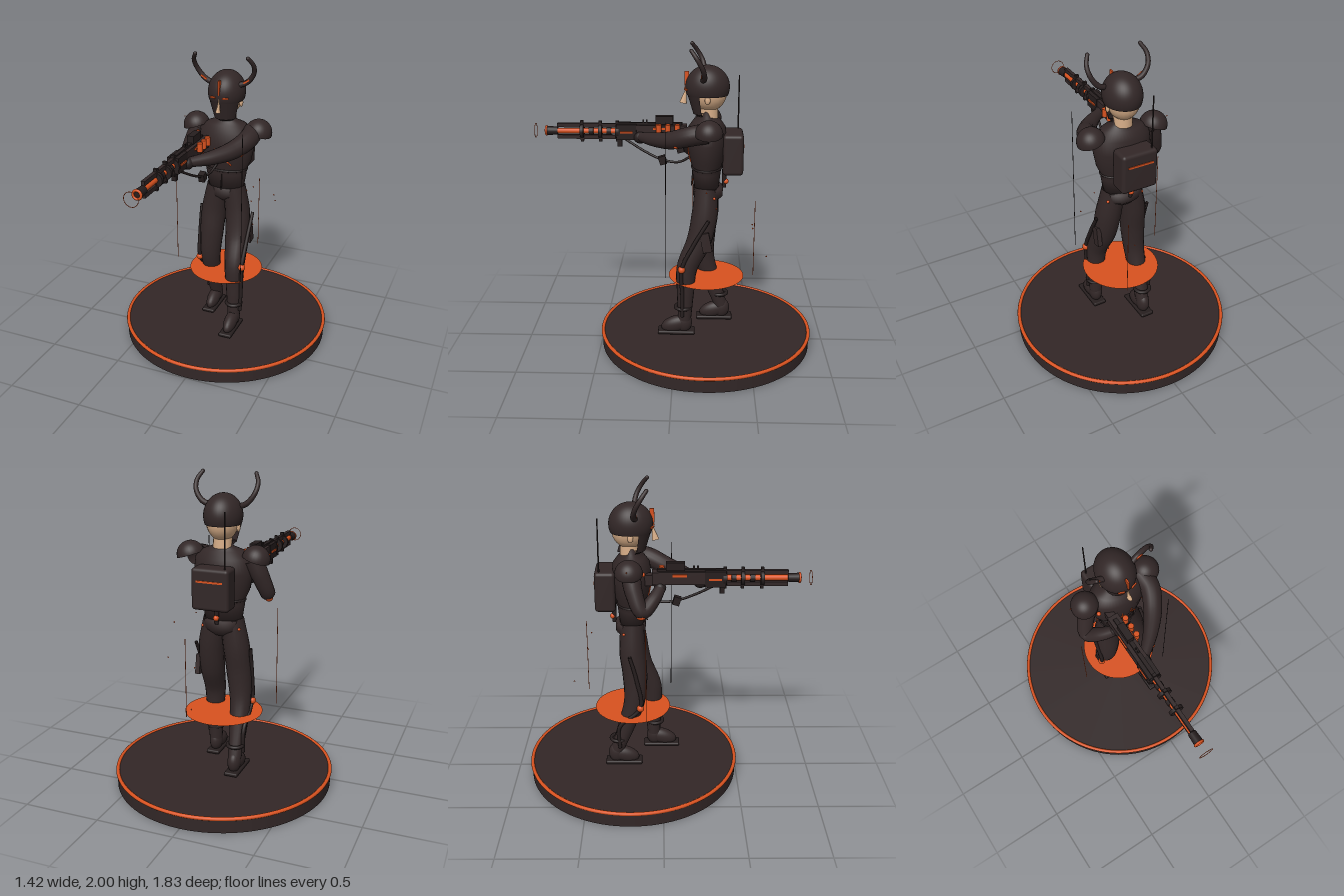
import * as THREE from 'three';
import { RoundedBoxGeometry } from 'three/addons/geometries/RoundedBoxGeometry.js';

const mat = (name, color) => {
  const m = new THREE.MeshStandardMaterial({ color, side: THREE.DoubleSide });
  m.name = name;
  return m;
};
const V = (a) => new THREE.Vector3(...a);

export function createModel() {
  const dark = mat('charcoal armour', 0x322727);
  const black = mat('black fittings', 0x261e1e);
  const orange = mat('orange trim', 0xd9521f);
  const skin = mat('skin', 0xd8ae88);
  const root = new THREE.Group();

  const add = (name, geo, m, pos = [0, 0, 0], rot = [0, 0, 0], scale = [1, 1, 1], parent = root) => {
    const mesh = new THREE.Mesh(geo, m);
    mesh.name = name;
    mesh.position.set(...pos);
    mesh.rotation.set(...rot);
    mesh.scale.set(...scale);
    parent.add(mesh);
    return mesh;
  };
  const box = (x, y, z) => new THREE.BoxGeometry(x, y, z);
  const ball = (r) => new THREE.SphereGeometry(r, 24, 16);
  const cyl = (a, b, h, n = 20) => new THREE.CylinderGeometry(a, b, h, n);
  const lathe = (pts) => new THREE.LatheGeometry(pts.map((p) => new THREE.Vector2(...p)), 48);

  // Round limb that follows a curve, with the radius changing along it
  const limb = (name, pts, radii, m, seg = 28) => {
    const curve = new THREE.CatmullRomCurve3(pts.map(V));
    const sides = 16;
    const geo = new THREE.TubeGeometry(curve, seg, 1, sides, false);
    const p = geo.attributes.position;
    const v = new THREE.Vector3();
    for (let i = 0; i <= seg; i++) {
      const c = curve.getPointAt(i / seg);
      const t = (i / seg) * (radii.length - 1);
      const k = Math.min(Math.floor(t), radii.length - 2);
      const r = THREE.MathUtils.lerp(radii[k], radii[k + 1], t - k);
      for (let j = 0; j <= sides; j++) {
        const n = i * (sides + 1) + j;
        v.fromBufferAttribute(p, n).sub(c).multiplyScalar(r).add(c);
        p.setXYZ(n, v.x, v.y, v.z);
      }
    }
    return add(name, geo, m);
  };

  // Round stand with a glowing rim, and the floating disc
  add('base', new THREE.CylinderGeometry(0.7, 0.7, 0.095, 96), dark, [0, 0.0475, -0.205]);
  add('baseRim', new THREE.TorusGeometry(0.697, 0.012, 10, 96), orange, [0, 0.092, -0.205], [Math.PI / 2, 0, 0]);
  add('floatingDisc', new THREE.CircleGeometry(0.25, 64), orange, [0, 0.475, -0.205], [-Math.PI / 2, 0, 0]);

  // Legs, boots and outer leg struts
  const legs = [
    { s: 1, z: [-0.2, -0.19, -0.155, -0.08, -0.07, -0.065], knee: [0.58, -0.045], foot: -0.01, low: -0.05 },
    { s: -1, z: [-0.2, -0.2, -0.185, -0.19, -0.24, -0.31], knee: [0.545, -0.15], foot: -0.265, low: -0.29 },
  ];
  for (const { s, z, knee, foot, low } of legs) {
    const xs = [0.055, 0.085, 0.098, 0.11, 0.115, 0.115];
    const ys = [1.1, 0.92, 0.75, 0.57, 0.4, 0.2];
    limb('leg', xs.map((x, i) => [s * x, ys[i], z[i]]), [0.075, 0.085, 0.08, 0.068, 0.056, 0.043], dark);
    add('ankleCuff', new THREE.TorusGeometry(0.05, 0.012, 10, 28), black, [s * 0.117, 0.29, z[5] + 0.01], [Math.PI / 2, 0, 0]);
    add('boot', ball(1), dark, [s * 0.115, 0.165, foot], [0.3, 0, 0], [0.044, 0.055, 0.105]);
    add('bootHeel', ball(1), dark, [s * 0.115, 0.175, foot - 0.05], [0, 0, 0], [0.043, 0.07, 0.055]);
    add('sole', new RoundedBoxGeometry(0.09, 0.025, 0.245, 3, 0.01), black, [s * 0.115, 0.113, foot]);
    const k = [s * 0.175, knee[0], knee[1]];
    limb('legStrut', [[s * 0.185, 0.92, -0.215], [s * 0.18, 0.75, (knee[1] - 0.215) / 2 + 0.01], k, [s * 0.17, 0.4, low], [s * 0.165, 0.24, low]], [0.011, 0.013, 0.013, 0.013, 0.012], black);
    add('kneeJoint', ball(0.024), orange, k);
    add('hipLight', ball(0.01), orange, [s * 0.12, 1.05, -0.25]);
  }
  add('thighPouch', box(0.03, 0.13, 0.06), dark, [0.17, 0.77, -0.2], [0.2, 0, 0]);

  // Torso
  add('pelvis', lathe([[0, 1.0], [0.07, 1.0], [0.12, 1.04], [0.122, 1.1], [0, 1.11]]), dark, [0, 0, -0.21], [0, 0, 0], [1, 1, 0.8]);
  add('chest', lathe([[0, 1.09], [0.12, 1.09], [0.138, 1.2], [0.142, 1.235], [0.168, 1.29], [0.19, 1.4], [0.178, 1.49], [0.13, 1.535], [0.065, 1.56], [0.055, 1.6], [0, 1.6]]), dark, [0, 0, -0.2], [0, 0, 0], [1, 1, 0.66]);
  add('waistBelt', new THREE.TorusGeometry(0.14, 0.008, 8, 48), black, [0, 1.23, -0.2], [Math.PI / 2, 0, 0], [1, 0.68, 1]);
  add('frontSeam', box(0.006, 0.13, 0.008), black, [0, 1.165, -0.109], [-0.08, 0, 0]);
  for (const s of [-1, 1]) {
    add('chestLine', new THREE.TubeGeometry(new THREE.CatmullRomCurve3([[0.035 * s, 1.39, -0.08], [0.03 * s, 1.33, -0.085], [0.07 * s, 1.28, -0.1]].map(V)), 10, 0.005, 6), orange);
    // Shoulder domes with a lit underside
    const g = new THREE.Group();
    g.name = 'shoulderPlate';
    g.position.set(0.215 * s, 1.49, -0.21);
    g.rotation.z = -0.3 * s;
    root.add(g);
    add('shoulderDome', new THREE.SphereGeometry(0.087, 28, 12, 0, Math.PI * 2, 0, Math.PI / 2), dark, [0, 0, 0], [0, 0, 0], [1, 1, 1], g);
    add('shoulderLining', new THREE.CircleGeometry(0.07, 28), orange, [0, 0.004, 0], [Math.PI / 2, 0, 0], [1, 1, 1], g);
    add('shoulderLight', ball(0.014), orange, [0.17 * s, 1.47, -0.125]);
  }

  // Arms and hands
  limb('leftArm', [[0.18, 1.49, -0.2], [0.18, 1.47, -0.1], [0.12, 1.43, 0.02], [0.03, 1.41, 0.13], [-0.07, 1.4, 0.22]], [0.065, 0.062, 0.056, 0.045, 0.032], dark);
  add('leftHand', ball(0.04), black, [-0.085, 1.395, 0.23], [0, 0, 0], [1, 1, 1.1]);
  limb('rightArm', [[-0.19, 1.49, -0.2], [-0.235, 1.38, -0.18], [-0.265, 1.265, -0.13], [-0.2, 1.32, -0.06], [-0.13, 1.365, -0.02]], [0.062, 0.055, 0.048, 0.045, 0.034], dark);
  add('rightHand', ball(0.038), black, [-0.125, 1.37, -0.02]);
  add('rightElbowPad', ball(0.03), orange, [-0.275, 1.237, -0.135], [0, 0, 0], [0.8, 0.7, 1]);
  add('leftElbowPad', ball(0.018), orange, [0.17, 1.405, -0.01]);

  // Head, helmet and face guard
  add('neck', cyl(0.055, 0.06, 0.12), skin, [0, 1.61, -0.21]);
  add('head', ball(1), skin, [0, 1.71, -0.21], [0, 0, 0], [0.098, 0.12, 0.112]);
  add('helmetDome', new THREE.SphereGeometry(1, 40, 24, 0, Math.PI * 2, 0, 1.95), dark, [0, 1.743, -0.2], [0, 0, 0], [0.118, 0.136, 0.138]);
  add('faceGuard', new THREE.CylinderGeometry(0.113, 0.078, 0.13, 32, 1, true, -1.15, 2.3), dark, [0, 1.64, -0.2], [0, 0, 0], [1, 1, 1.13]);
  add('chinPlate', new THREE.CylinderGeometry(0.078, 0.06, 0.02, 32, 1, false, -1.15, 2.3), black, [0, 1.573, -0.2], [0, 0, 0], [1, 1, 1.13]);
  add('nose', new THREE.ConeGeometry(0.018, 0.1, 12), skin, [0, 1.69, -0.058], [-0.2, 0, 0], [0.8, 1, 1.3]);
  add('browCrest', box(0.01, 0.09, 0.03), orange, [0, 1.795, -0.07]);
  for (const s of [-1, 1]) {
    add('eyeSlit', box(0.04, 0.01, 0.009), orange, [s * 0.042, 1.732, -0.066], [0, s * 0.35, 0]);
    add('ear', ball(0.022), skin, [s * 0.098, 1.675, -0.2], [0, 0, 0], [0.5, 1.2, 0.8]);
    limb('horn', [[s * 0.09, 1.795, -0.17], [s * 0.145, 1.82, -0.18], [s * 0.19, 1.88, -0.168], [s * 0.198, 1.94, -0.135], [s * 0.174, 1.988, -0.1]], [0.018, 0.017, 0.015, 0.014, 0.012], dark);
    add('hornTip', ball(0.0122), dark, [s * 0.174, 1.988, -0.1]);
    add('hornGlow', box(0.045, 0.01, 0.008), orange, [s * 0.143, 1.826, -0.163], [0, 0, s * 0.55]);
  }

  // Backpack, antenna and lower nozzle
  add('backpack', new RoundedBoxGeometry(0.24, 0.26, 0.13, 4, 0.022), dark, [0, 1.33, -0.365]);
  add('backpackStripe', box(0.17, 0.012, 0.008), orange, [0, 1.38, -0.431]);
  add('antenna', cyl(0.004, 0.005, 0.36, 8), black, [-0.09, 1.62, -0.4]);
  add('nozzle', cyl(0.016, 0.012, 0.12), black, [0, 1.15, -0.315]);
  add('nozzleLight', ball(0.018), orange, [0, 1.13, -0.325]);

  // Long gun, pointing forward
  const gun = new THREE.Group();
  gun.name = 'longGun';
  gun.position.set(-0.11, 1.43, 0);
  root.add(gun);
  const part = (name, geo, m, pos, rot = [0, 0, 0]) => add(name, geo, m, pos, rot, [1, 1, 1], gun);
  const along = [Math.PI / 2, 0, 0];
  part('receiver', box(0.07, 0.08, 0.34), dark, [0, 0.005, 0.1]);
  part('foreReceiver', box(0.075, 0.1, 0.13), black, [0, 0, 0.32]);
  part('stock', box(0.05, 0.07, 0.14), dark, [0, -0.01, -0.09]);
  part('topRail', box(0.025, 0.018, 0.42), black, [0, 0.05, 0.17]);
  part('barrelCore', cyl(0.018, 0.018, 0.42), orange, [0, 0, 0.57], along);
  part('innerBarrel', cyl(0.012, 0.012, 0.5), black, [0, 0, 0.56], along);
  for (const s of [-1, 1]) {
    part('shroudRail', box(0.024, 0.026, 0.39), dark, [0, s * 0.038, 0.575]);
    part('sideLight', box(0.008, 0.014, 0.09), orange, [s * 0.039, 0.025, 0.1]);
    part('foreLight', box(0.008, 0.012, 0.08), orange, [s * 0.041, 0.0, 0.32]);
    part('sightPost', box(0.01, 0.025, 0.01), black, [0, 0.065, 0.2 + s * 0.012]);
  }
  for (const z of [0.38, 0.49, 0.61]) {
    part('barrelRing', cyl(0.045, 0.045, 0.022, 16), black, [0, 0, z], along);
    part('ringLug', box(0.024, 0.135, 0.02), black, [0, 0, z]);
  }
  for (const z of [0.435, 0.55]) part('coreBand', cyl(0.026, 0.026, 0.03, 16), black, [0, 0, z], along);
  part('muzzle', cyl(0.03, 0.026, 0.075), black, [0, 0, 0.805], along);
  part('muzzleGlow', new THREE.TorusGeometry(0.026, 0.008, 8, 28), orange, [0, 0, 0.842]);
  part('muzzleHalo', new THREE.TorusGeometry(0.045, 0.002, 6, 40), orange, [0, 0, 0.912]);
  part('scope', box(0.045, 0.05, 0.115), black, [0, 0.077, 0.075]);
  part('grip', box(0.035, 0.11, 0.045), black, [0, -0.085, -0.02], [0.25, 0, 0]);
  part('gripLight', box(0.04, 0.03, 0.03), orange, [0.005, -0.07, -0.01]);
  part('clip', box(0.03, 0.05, 0.03), black, [0, -0.075, 0.365]);
  for (const z of [-0.01, 0.05, 0.11]) part('powerCell', cyl(0.018, 0.018, 0.055, 16), orange, [0.055, 0.03, z]);

  // Feed hose from the gun to the chest
  limb('feedHose', [[-0.1, 1.38, 0.33], [-0.07, 1.3, 0.19], [-0.05, 1.255, 0.08], [-0.04, 1.245, -0.02], [-0.02, 1.29, -0.1]], [0.008, 0.008], black);
  add('hoseCoupling', box(0.04, 0.055, 0.045), black, [-0.05, 1.255, 0.085], [0.3, 0, 0]);

  // Thin hanging light lines and drifting sparks
  for (const [x, z, y0, y1, m] of [[0.205, 0.055, 0.535, 1.56, black], [0.125, -0.51, 0.53, 1.04, orange], [-0.325, -0.11, 0.53, 1.17, orange]]) {
    add('lightLine', cyl(0.002, 0.002, y1 - y0, 6), m, [x, (y0 + y1) / 2, z]);
  }
  for (const p of [[0.05, 0.63, -0.6], [0.25, 0.9, -0.49], [0.07, 0.86, -0.5], [0.315, 1.05, -0.26], [-0.305, 1.53, -0.22], [0.19, 1.11, -0.2]]) {
    add('spark', new THREE.OctahedronGeometry(0.006), orange, p);
  }
  return root;
}
